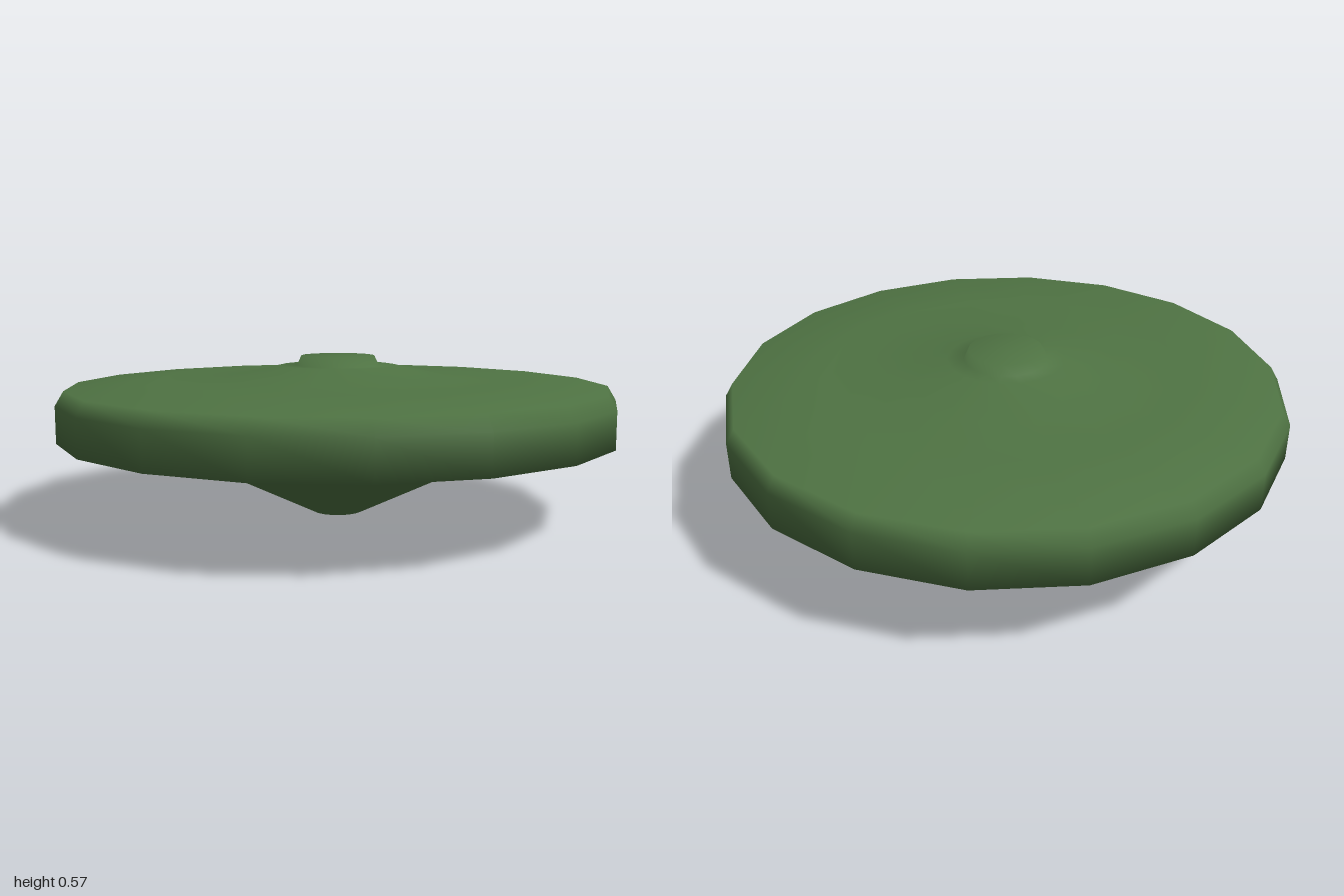
import * as THREE from 'three';

export function createModel() {
  const model = new THREE.Group();
  model.name = 'saucer';
  const green = new THREE.MeshStandardMaterial({ color: 0x4f7343 });

  // Radius and height, from the centre of the base up to the centre of the cap
  const profile = [
    [0, 0], [0.09, 0],                           // small flat foot
    [0.69, 0.29], [1, 0.29],                     // conical belly, flat underside of the rim
    [1, 0.42], [0.97, 0.47],                     // rim wall and chamfer
    [0.64, 0.495], [0.41, 0.497],                // shallow upper deck
    [0.21, 0.54], [0.15, 0.54],                  // raised centre
    [0.133, 0.575], [0, 0.575],                  // round cap
  ].map(([r, y]) => new THREE.Vector2(r, y));

  // One continuous smooth 18-sided skin, with a corner on the +x axis
  const hull = new THREE.Mesh(new THREE.LatheGeometry(profile, 18, Math.PI / 2), green);
  hull.name = 'saucerHull';
  model.add(hull);

  return model;
}
